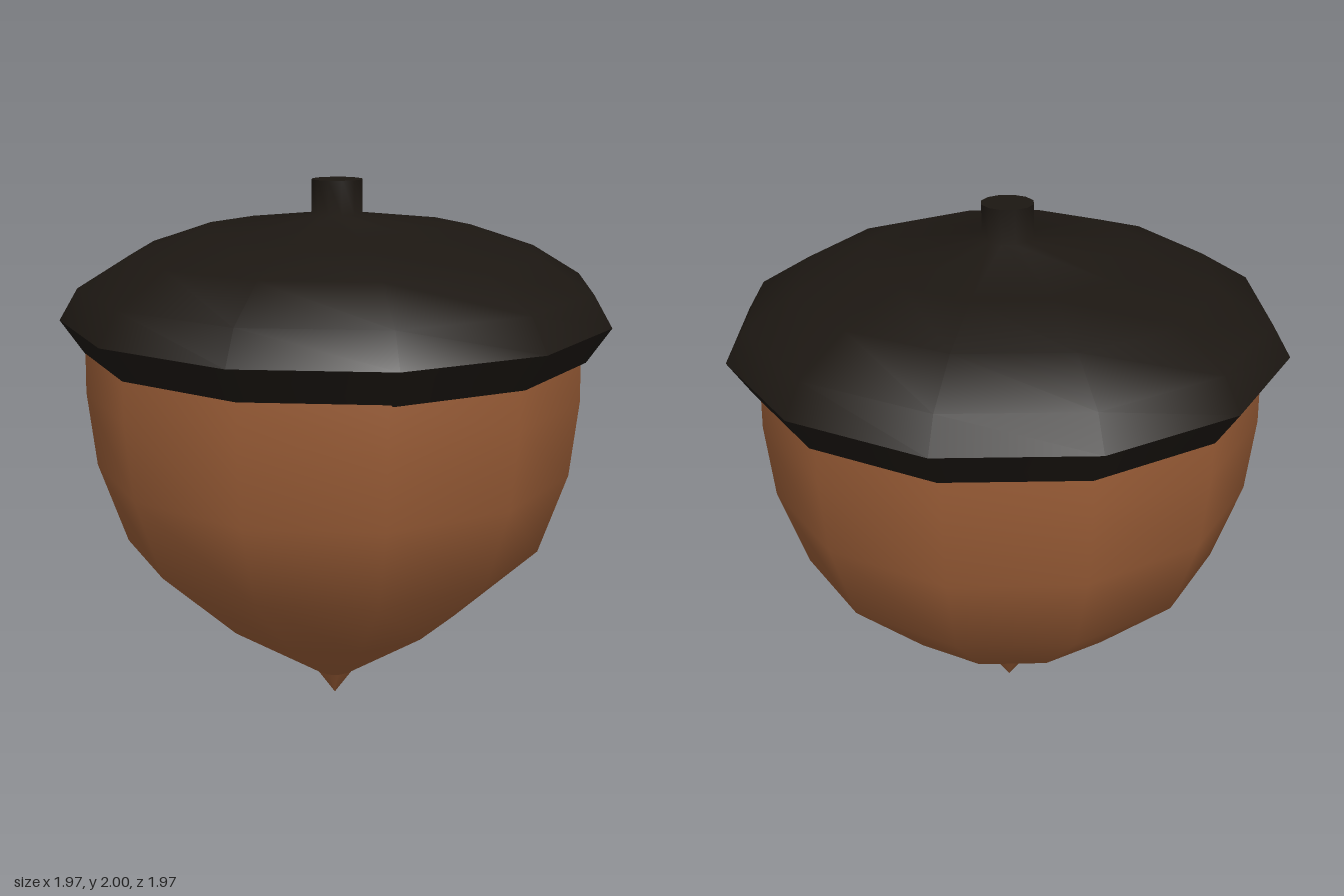
import * as THREE from 'three';

const SIDES = 12;

// Revolve a [radius, height] profile, listed from bottom to top, into a named mesh.
function turned(name, profile, material) {
  const points = profile.map(([r, y]) => new THREE.Vector2(r, y));
  const mesh = new THREE.Mesh(new THREE.LatheGeometry(points, SIDES), material);
  mesh.name = name;
  return mesh;
}

export function createModel() {
  const shell = new THREE.MeshStandardMaterial({ color: 0x995c36 });
  const bark = new THREE.MeshStandardMaterial({ color: 0x1c1712 });

  // Nut: smooth body with a separately shaded pointed tip, slightly off centre
  const nut = new THREE.Group();
  nut.name = 'nut';
  nut.position.set(-0.012, 0, 0.015);
  nut.add(
    turned('nutTip', [[0, 0], [0.075, 0.11]], shell),
    turned('nutBody', [
      [0.075, 0.11], [0.475, 0.4], [0.777, 0.7],
      [0.873, 1.0], [0.898, 1.27], [0.893, 1.412],
    ], shell),
  );

  // Cap: flat underside, flared rim, and a dome that blends into the stem
  const cap = new THREE.Group();
  cap.name = 'cap';
  cap.add(
    turned('capUnderside', [[0, 1.405], [0.905, 1.405]], bark),
    turned('capRim', [[0.905, 1.405], [0.987, 1.53]], bark),
    turned('capDomeAndStem', [
      [0.987, 1.53], [0.92, 1.64], [0.735, 1.75],
      [0.495, 1.83], [0.092, 1.88], [0.092, 2.0],
    ], bark),
    turned('stemTop', [[0.092, 2.0], [0, 2.0]], bark),
  );

  const acorn = new THREE.Group();
  acorn.name = 'acorn';
  acorn.add(nut, cap);
  return acorn;
}
